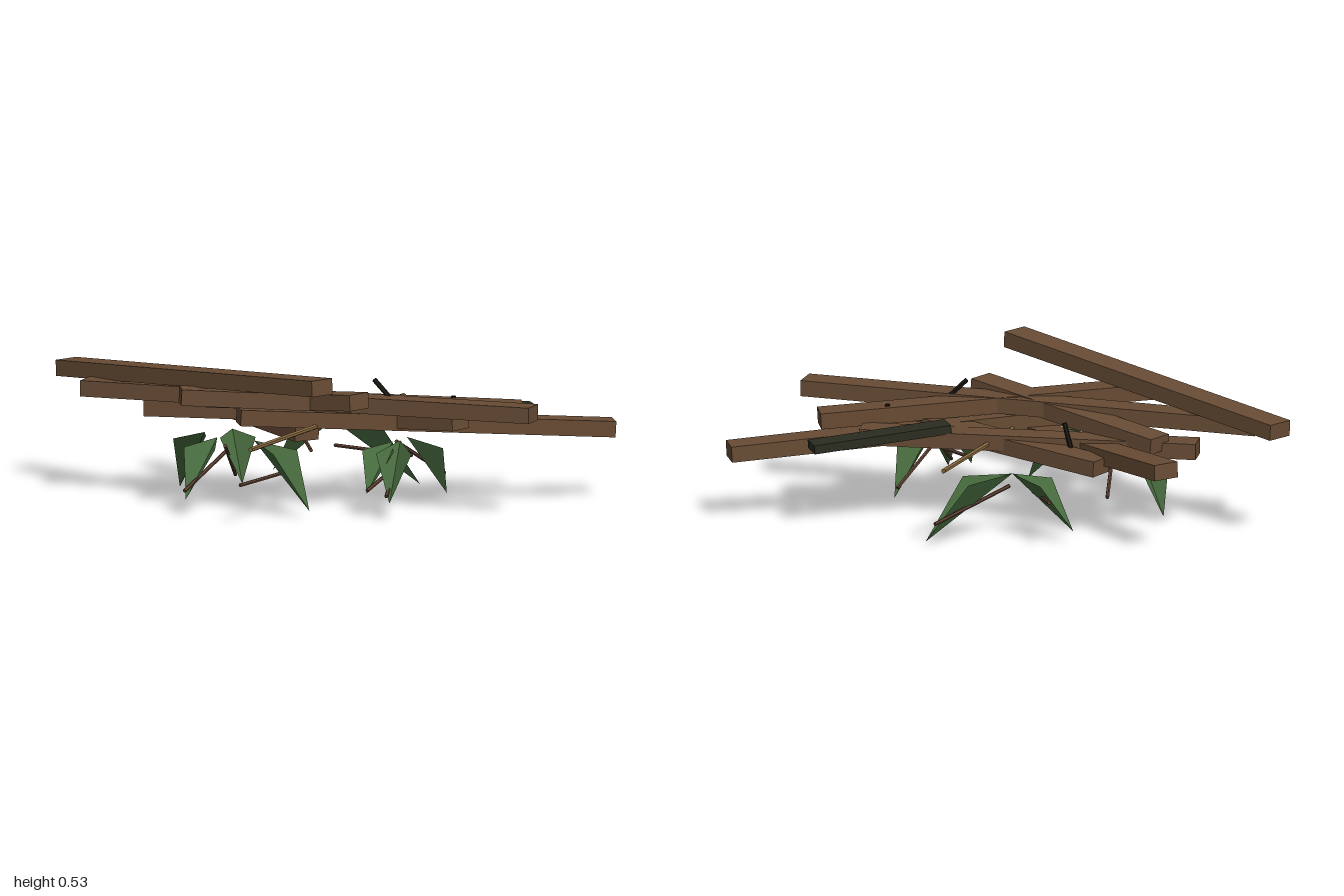
import * as THREE from 'three';

const V = (p) => new THREE.Vector3(...p);
const mat = (name, color, side = THREE.FrontSide) => {
  const m = new THREE.MeshStandardMaterial({ color, side, flatShading: true });
  m.name = name;
  return m;
};

export function createModel() {
  const group = new THREE.Group();
  const wood = mat('brown wood', 0x684c35);
  const darkWood = mat('dark mossy wood', 0x2b2c20);
  const rodWood = mat('tan wood', 0x87683f);
  const twigWood = mat('twig brown', 0x5e4032);
  const pegDark = mat('dark peg', 0x1d1913);
  const leafGreen = mat('leaf green', 0x476a3e, THREE.DoubleSide);

  const add = (name, geo, material) => {
    const m = new THREE.Mesh(geo, material);
    m.name = name;
    group.add(m);
    return m;
  };

  // Square beam between the centres of its two ends
  const plank = (name, a, b, width, height, material) => {
    const p = V(a), q = V(b);
    const m = add(name, new THREE.BoxGeometry(width, height, p.distanceTo(q)), material);
    m.position.copy(p).lerp(q, 0.5);
    m.lookAt(q);
  };

  // Thin round stick between two points
  const stick = (name, a, b, r, material) => {
    const p = V(a), q = V(b), d = q.clone().sub(p);
    const m = add(name, new THREE.CylinderGeometry(r, r, d.length(), 6), material);
    m.position.copy(p).lerp(q, 0.5);
    m.quaternion.setFromUnitVectors(new THREE.Vector3(0, 1, 0), d.normalize());
  };

  // Leaf folded along the straight line from base to tip, its side corners lifted
  const leaf = (base, tip, width = 0.13) => {
    const b = V(base), t = V(tip), dir = t.clone().sub(b);
    const lift = dir.length() * 0.22;
    const side = dir.clone().cross(new THREE.Vector3(0, 1, 0)).normalize();
    const up = side.clone().cross(dir).normalize();
    const mid = b.clone().lerp(t, 0.37).addScaledVector(up, lift);
    const l = mid.clone().addScaledVector(side, -width / 2);
    const r = mid.clone().addScaledVector(side, width / 2);
    const geo = new THREE.BufferGeometry().setFromPoints([b, l, t, b, t, r]);
    geo.computeVertexNormals();
    add('leaf', geo, leafGreen);
  };

  // Crossed planks of the platform
  [
    [[-0.975, 0.418, -0.083], [0.272, 0.502, 0.45]],
    [[-0.825, 0.38, 0.085], [0.893, 0.378, -0.018]],
    [[-0.525, 0.33, -0.125], [0.28, 0.406, 0.143]],
    [[-0.663, 0.315, -0.402], [0.045, 0.268, 0.077]],
    [[-0.637, 0.303, -0.035], [0.56, 0.303, -0.3]],
    [[-0.36, 0.268, -0.275], [0.59, 0.325, -0.055]],
    [[-0.163, 0.335, 0.213], [0.972, 0.257, -0.547]],
    [[-0.348, 0.412, 0.313], [0.725, 0.342, -0.294]],
  ].forEach(([a, b]) => plank('plank', a, b, 0.1, 0.058, wood));
  plank('darkPlank', [0.25, 0.345, -0.235], [0.652, 0.307, -0.55], 0.088, 0.032, darkWood);

  // Cross rod
  stick('crossRod', [0.1, 0.3, -0.65], [0.08, 0.293, 0.65], 0.009, rodWood);

  // Pegs poking out of the planks
  [
    [[0.265, 0.462, -0.022], [0.33, 0.398, -0.02]],
    [[-0.215, 0.29, -0.2], [-0.185, 0.393, -0.195]],
    [[0.5, 0.3, -0.195], [0.5, 0.392, -0.195]],
  ].forEach(([a, b]) => stick('peg', a, b, 0.009, pegDark));

  // Hanging leaves
  [
    [[-0.06, 0.24, -0.385], [0.21, 0, -0.547]],
    [[-0.06, 0.24, -0.385], [-0.29, 0.045, -0.37]],
    [[-0.09, 0.255, 0.24], [0.16, 0.025, 0.312]],
    [[-0.33, 0.255, 0.14], [-0.49, 0.025, 0.0]],
    [[-0.24, 0.255, 0.23], [-0.265, 0.06, 0.45]],
    [[-0.27, 0.255, 0.03], [-0.15, 0.09, 0.21]],
    [[0.39, 0.26, -0.03], [0.48, 0.04, -0.18]],
    [[0.4, 0.26, 0.05], [0.44, 0.06, 0.235]],
    [[0.36, 0.25, 0.03], [0.34, 0.085, 0.21]],
  ].forEach(([a, b]) => leaf(a, b));

  // Twigs among the leaves
  [
    [[0.145, 0.09, -0.62], [-0.01, 0.165, -0.29]],
    [[-0.25, 0.18, -0.5], [-0.09, 0.145, -0.26]],
    [[-0.27, 0.09, 0.45], [-0.22, 0.2, 0.2]],
    [[-0.065, 0.12, 0.42], [0.01, 0.14, 0.22]],
    [[-0.2, 0.23, 0.25], [-0.28, 0.08, -0.02]],
    [[0.43, 0.085, 0.24], [0.37, 0.21, -0.01]],
    [[0.35, 0.1, 0.23], [0.42, 0.2, 0.02]],
    [[0.37, 0.25, 0.02], [0.44, 0.1, -0.25]],
  ].forEach(([a, b]) => stick('twig', a, b, 0.007, twigWood));

  return group;
}
